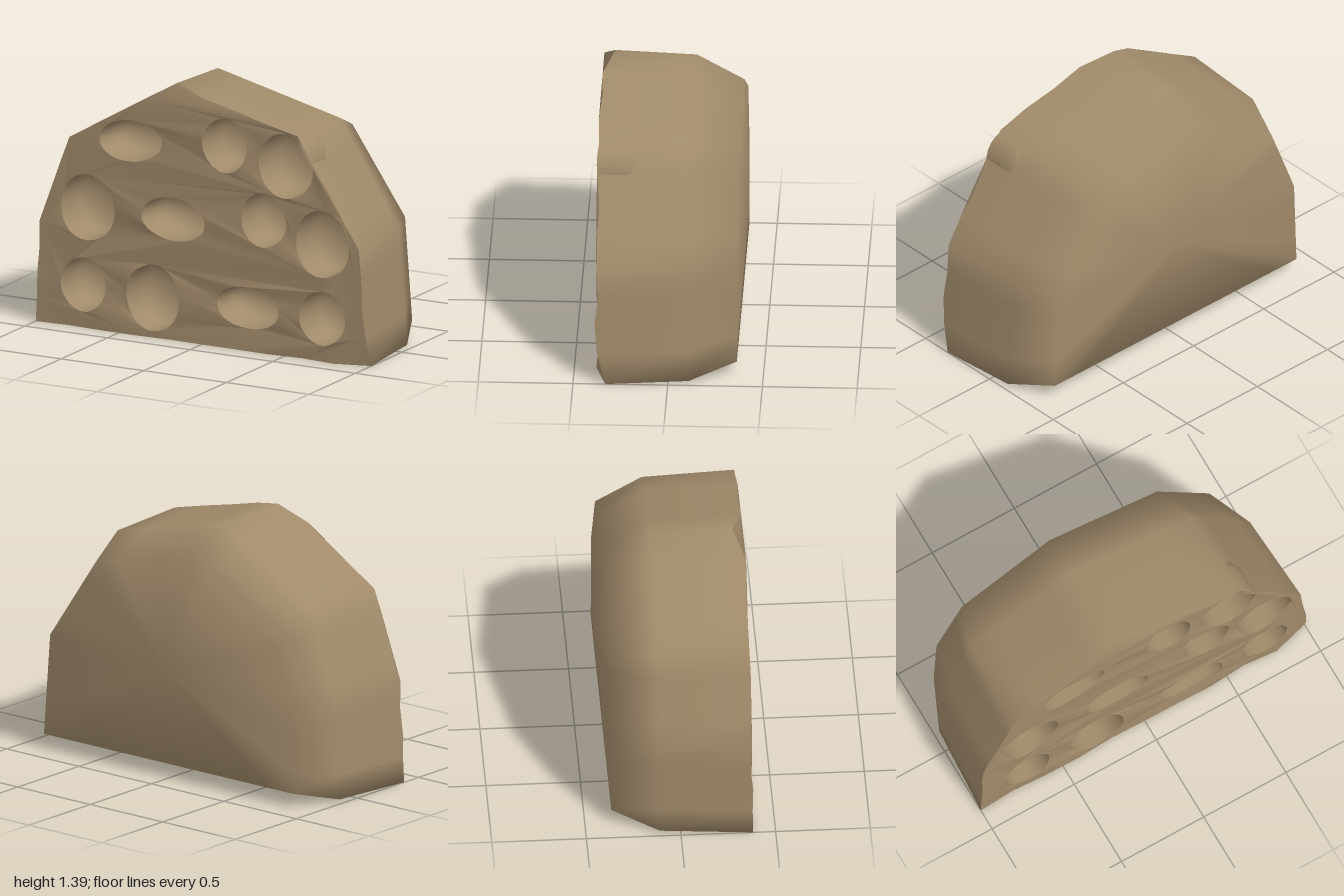
import * as THREE from 'three';

// Corners of the block seen from the front, counter-clockwise
const CORNERS = [[-1, 0], [1, 0], [0.95, 0.64], [0.58, 1.21], [-0.18, 1.39], [-0.8, 1.03], [-0.98, 0.55]];

// Pockets: centre x, centre y, radius x, radius y, tilt
const POCKETS = [
  [-0.43, 1.055, 0.187, 0.113, 0.06], [0.14, 1.1, 0.135, 0.147, 0], [0.51, 1.038, 0.165, 0.177, 0],
  [-0.69, 0.66, 0.163, 0.18, 0], [-0.17, 0.66, 0.19, 0.117, -0.06], [0.375, 0.725, 0.137, 0.147, 0],
  [0.73, 0.64, 0.163, 0.182, 0], [-0.715, 0.235, 0.135, 0.147, 0], [-0.295, 0.215, 0.163, 0.18, 0],
  [0.28, 0.235, 0.19, 0.115, -0.05], [0.73, 0.235, 0.137, 0.147, 0],
];
const SEG = 28;

// Uneven height of the front face, chipped at the peak and one lower corner
function frontZ(x, y) {
  const chip = (cx, cy) => 0.048 * Math.exp(-((x - cx) ** 2 + (y - cy) ** 2) / 0.006);
  const wave = Math.sin(x * 13 + y * 5) * Math.sin(y * 14 - x * 4 + 1);
  return 0.377 + 0.011 * wave - chip(-0.18, 1.39) - chip(1, 0);
}

// Outline with each edge divided, so the front rim can be ragged
function outline() {
  const pts = [];
  CORNERS.forEach(([x, y], i) => {
    const [x2, y2] = CORNERS[(i + 1) % CORNERS.length];
    const n = i === 0 ? 10 : 4;
    for (let k = 0; k < n; k++) pts.push(new THREE.Vector2(x + (x2 - x) * k / n, y + (y2 - y) * k / n));
  });
  return pts;
}

function pocketRing([cx, cy, rx, ry, tilt], scale) {
  return Array.from({ length: SEG }, (_, i) => {
    const a = i / SEG * Math.PI * 2;
    const p = new THREE.Vector2(Math.cos(a) * rx * scale, Math.sin(a) * ry * scale);
    return p.rotateAround(new THREE.Vector2(), tilt).add(new THREE.Vector2(cx, cy));
  });
}

// Joins closed rings of [x, y, z] points and closes the last one to a tip
function loft(rings, tip) {
  const n = rings[0].length;
  const index = [];
  for (let r = 0; r < rings.length; r++) {
    for (let i = 0; i < n; i++) {
      const a = r * n + i, b = r * n + (i + 1) % n;
      if (r === rings.length - 1) index.push(a, rings.length * n, b);
      else index.push(a, a + n, b + n, a, b + n, b);
    }
  }
  const geo = new THREE.BufferGeometry();
  geo.setAttribute('position', new THREE.Float32BufferAttribute([...rings.flat(2), ...tip], 3));
  geo.setIndex(index);
  geo.computeVertexNormals();
  return geo;
}

// Sides and tapered back
function bodyGeometry() {
  const rim = outline();
  return loft([
    rim.map(p => [p.x, p.y, frontZ(p.x, p.y)]),
    rim.map(p => [p.x * 0.97, 0.6 + (p.y - 0.6) * 0.98, -0.11]),
    rim.map(p => [p.x * 0.86, 0.6 + (p.y - 0.6) * (p.y > 0.6 ? 0.815 : 0.87), -0.36]),
  ], [0, 0.6, -0.39]);
}

// Front face with an opening for every pocket
function faceGeometry() {
  const shape = new THREE.Shape(outline());
  for (const pocket of POCKETS) {
    const ring = pocketRing(pocket, 1);
    // keep the opening inside the sloping edge
    for (const p of ring) {
      const over = p.x * 0.839 + p.y * 0.544 - 1.135;
      if (over > 0) p.set(p.x - over * 0.839, p.y - over * 0.544);
    }
    shape.holes.push(new THREE.Path(ring));
  }
  const geo = new THREE.ShapeGeometry(shape);
  const pos = geo.attributes.position;
  for (let i = 0; i < pos.count; i++) pos.setZ(i, frontZ(pos.getX(i), pos.getY(i)));
  geo.computeVertexNormals();
  return geo;
}

// Bowl with steep walls and a rounded floor; profile is [scale, z]
function bowlGeometry(pocket) {
  const profile = [[0.98, 0.29], [0.96, 0.22], [0.85, 0.18], [0.62, 0.15], [0.32, 0.135]];
  const rings = [pocketRing(pocket, 1).map(p => [p.x, p.y, frontZ(p.x, p.y)])];
  for (const [s, z] of profile) rings.push(pocketRing(pocket, s).map(p => [p.x, p.y, z]));
  const geo = loft(rings, [pocket[0], pocket[1], 0.13]);
  // turn the surface to face into the bowl
  const ix = geo.index.array;
  for (let i = 0; i < ix.length; i += 3) [ix[i + 1], ix[i + 2]] = [ix[i + 2], ix[i + 1]];
  geo.computeVertexNormals();
  return geo;
}

export function createModel() {
  const group = new THREE.Group();
  group.name = 'pocketedRock';
  const stone = new THREE.MeshStandardMaterial({ color: 0xa08a6a });
  const inside = new THREE.MeshStandardMaterial({ color: 0xa08a6a, side: THREE.DoubleSide });
  const add = (name, geo, mat) => {
    const mesh = new THREE.Mesh(geo, mat);
    mesh.name = name;
    group.add(mesh);
  };
  add('rockBody', bodyGeometry(), stone);
  add('frontFace', faceGeometry(), stone);
  POCKETS.forEach((p, i) => add(`pocket${i + 1}`, bowlGeometry(p), inside));
  return group;
}
